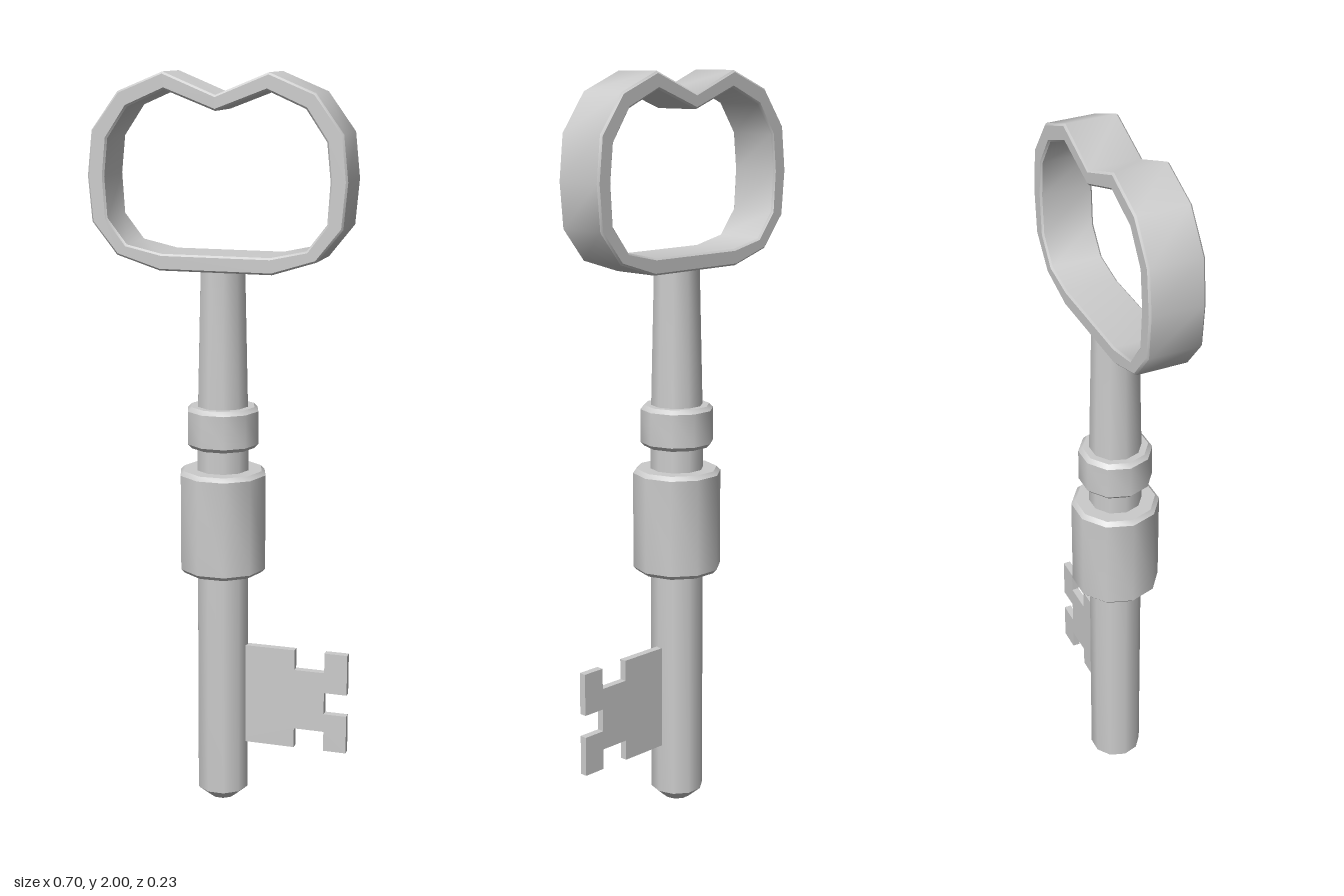
import * as THREE from 'three';
import { toCreasedNormals } from 'three/addons/utils/BufferGeometryUtils.js';

const material = new THREE.MeshStandardMaterial({ color: 0xcccccc });
const CREASE = 0.66; // ten-sided parts stay smooth, chamfers stay sharp
const SOFT_CREASE = 0.775; // also smooths the corners of the bow and the tip
const v2 = ([x, y]) => new THREE.Vector2(x, y);

function part(name, geometry, crease = CREASE) {
  const mesh = new THREE.Mesh(toCreasedNormals(geometry, crease), material);
  mesh.name = name;
  return mesh;
}

// Ten-sided turned part from [radius, y] points, listed bottom to top
function turned(name, profile, crease) {
  return part(name, new THREE.LatheGeometry(profile.map(v2), 10, Math.PI / 2), crease);
}

// Collar with chamfered rims
function collar(name, radius, bottom, top) {
  const c = 0.011;
  return turned(name, [
    [0, bottom], [radius - c, bottom], [radius, bottom + c],
    [radius, top - c], [radius - c, top], [0, top],
  ]);
}

// Right half outline, top to bottom, mirrored into a counter-clockwise loop from the notch
function mirrored(notchY, half) {
  const left = half.map(([x, y]) => [-x, y]);
  return [[0, notchY], ...left, ...half.toReversed()].map(v2);
}

function createBow() {
  const shape = new THREE.Shape(mirrored(1.943, [
    [0.141, 2.0], [0.263, 1.95], [0.336, 1.85], [0.3485, 1.732],
    [0.338, 1.613], [0.27, 1.528], [0.152, 1.491],
  ]));
  shape.holes.push(new THREE.Path(mirrored(1.903, [
    [0.137, 1.955], [0.238, 1.911], [0.293, 1.83], [0.303, 1.732],
    [0.296, 1.624], [0.243, 1.556], [0.147, 1.535],
  ])));
  const bevel = 0.005;
  const depth = 0.145 - 2 * bevel;
  const geometry = new THREE.ExtrudeGeometry(shape, {
    depth, bevelEnabled: true, bevelSegments: 1,
    bevelSize: bevel, bevelThickness: bevel, bevelOffset: -bevel,
  });
  return part('bow', geometry.translate(0, 0, -depth / 2), SOFT_CREASE);
}

function createBit() {
  // Notched plate, x measured from the shaft axis
  const shape = new THREE.Shape([
    [0.03, 0.169], [0.208, 0.169], [0.208, 0.225], [0.292, 0.225], [0.292, 0.169],
    [0.3555, 0.169], [0.3555, 0.277], [0.292, 0.277], [0.292, 0.339], [0.3555, 0.339],
    [0.3555, 0.454], [0.292, 0.454], [0.292, 0.397], [0.208, 0.397], [0.208, 0.454],
    [0.03, 0.454],
  ].map(v2));
  const geometry = new THREE.ExtrudeGeometry(shape, { depth: 0.02, bevelEnabled: false });
  return part('bit', geometry.translate(0, 0, -0.01));
}

export function createModel() {
  const key = new THREE.Group();
  key.name = 'key';
  key.add(
    // Straight shaft with a chamfered tip, tapering above the small collar
    turned('shaft', [
      [0, 0], [0.037, 0], [0.072, 0.03], [0.072, 1.07], [0.07, 1.125], [0.061, 1.505], [0, 1.505],
    ], SOFT_CREASE),
    collar('largeCollar', 0.12, 0.666, 0.951),
    collar('smallCollar', 0.099, 1.014, 1.126),
    createBow(),
    createBit(),
  );
  // The bit reaches past the bow, so the axis sits slightly off centre
  key.position.x = -0.0035;
  const model = new THREE.Group();
  model.add(key);
  return model;
}
